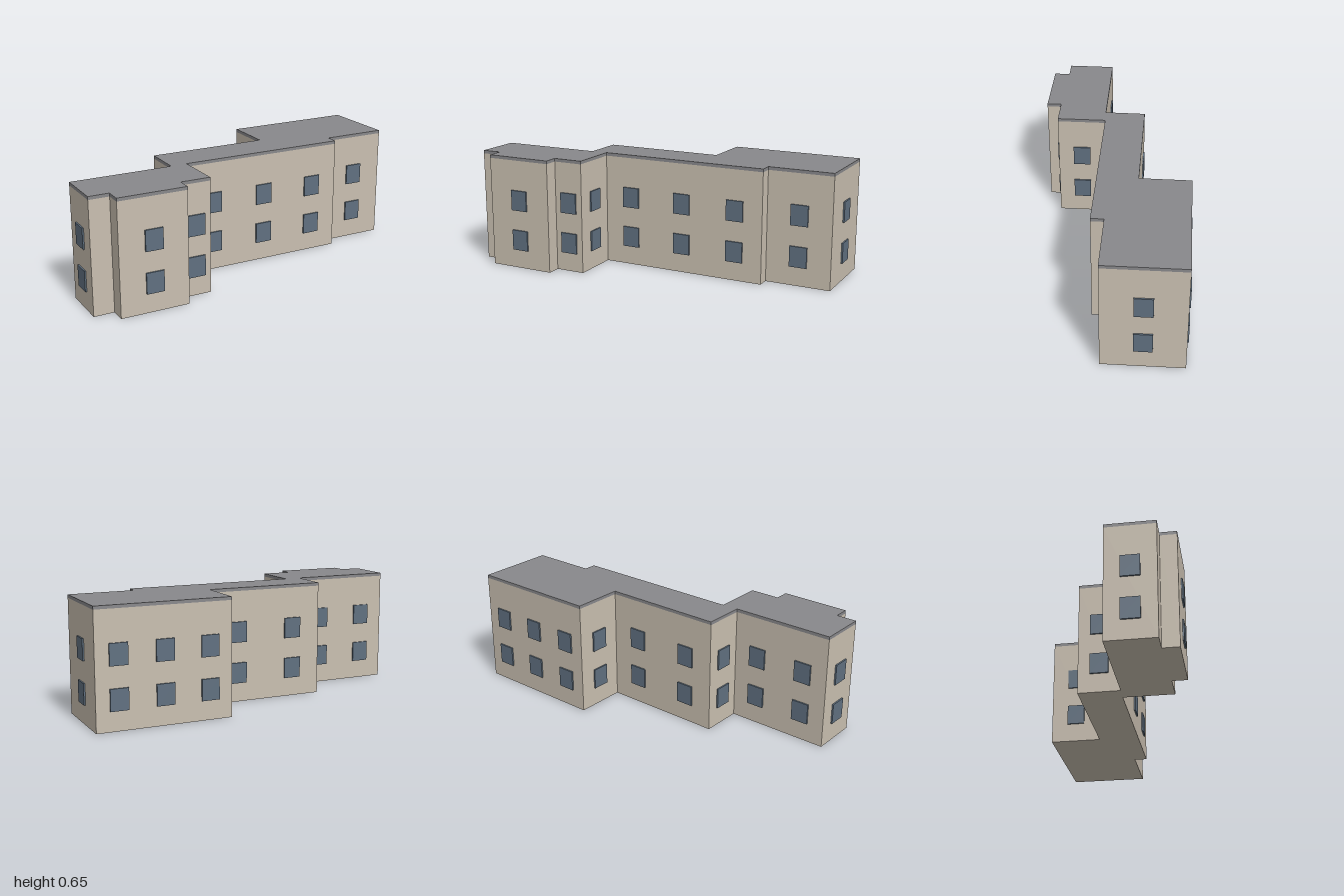
import * as THREE from 'three';

const mat = (name, color) => {
  const m = new THREE.MeshStandardMaterial({ color });
  m.name = name;
  return m;
};

// Footprint corners [x, z, number of windows per floor on the wall to the next corner]
const PLAN = [
  [-1.0, 0.205, 2], [-0.425, 0.135, 1], [-0.45, -0.095, 2], [0.23, -0.175, 1],
  [0.198, -0.46, 3], [0.945, -0.55, 1], [0.997, -0.107, 1], [0.627, -0.063, 0],
  [0.635, 0.008, 3], [-0.333, 0.122, 1], [-0.3, 0.4, 1], [-0.47, 0.42, 0],
  [-0.46, 0.502, 1], [-0.845, 0.547, 0], [-0.855, 0.457, 0], [-0.969, 0.471, 1],
];
const HEIGHT = 0.65, ROOF = 0.018;
const FLOORS = [0.166, 0.4]; // window centre heights
const WIN_W = 0.1, WIN_H = 0.117, WIN_D = 0.0095;

export function createModel() {
  const group = new THREE.Group();
  const wallMat = mat('beige wall', 0xc9bfb0);
  const roofMat = mat('grey roof', 0x88888b);
  const glassMat = mat('blue grey glass', 0x607080);

  // Walls and flat roof share one footprint
  const shape = new THREE.Shape(PLAN.map(([x, z]) => new THREE.Vector2(x, -z)));
  const slab = (name, y, depth, material) => {
    const geo = new THREE.ExtrudeGeometry(shape, { depth, bevelEnabled: false });
    geo.rotateX(-Math.PI / 2);
    const mesh = new THREE.Mesh(geo, material);
    mesh.name = name;
    mesh.position.y = y;
    group.add(mesh);
  };
  slab('walls', 0, HEIGHT - ROOF, wallMat);
  slab('roof', HEIGHT - ROOF, ROOF, roofMat);

  // Thin window panels spread evenly along each wall
  const windows = new THREE.Group();
  windows.name = 'windows';
  const pane = new THREE.BoxGeometry(WIN_W, WIN_H, WIN_D);
  PLAN.forEach(([x, z, count], i) => {
    const [x2, z2] = PLAN[(i + 1) % PLAN.length];
    const dx = x2 - x, dz = z2 - z, len = Math.hypot(dx, dz);
    const nx = dz / len, nz = -dx / len; // outward normal
    for (let k = 0; k < count; k++) {
      const t = (k + 0.5) / count;
      for (const y of FLOORS) {
        const w = new THREE.Mesh(pane, glassMat);
        w.name = 'window';
        w.position.set(x + dx * t + nx * WIN_D * 0.4, y, z + dz * t + nz * WIN_D * 0.4);
        w.rotation.y = Math.atan2(nx, nz);
        windows.add(w);
      }
    }
  });
  group.add(windows);
  return group;
}
